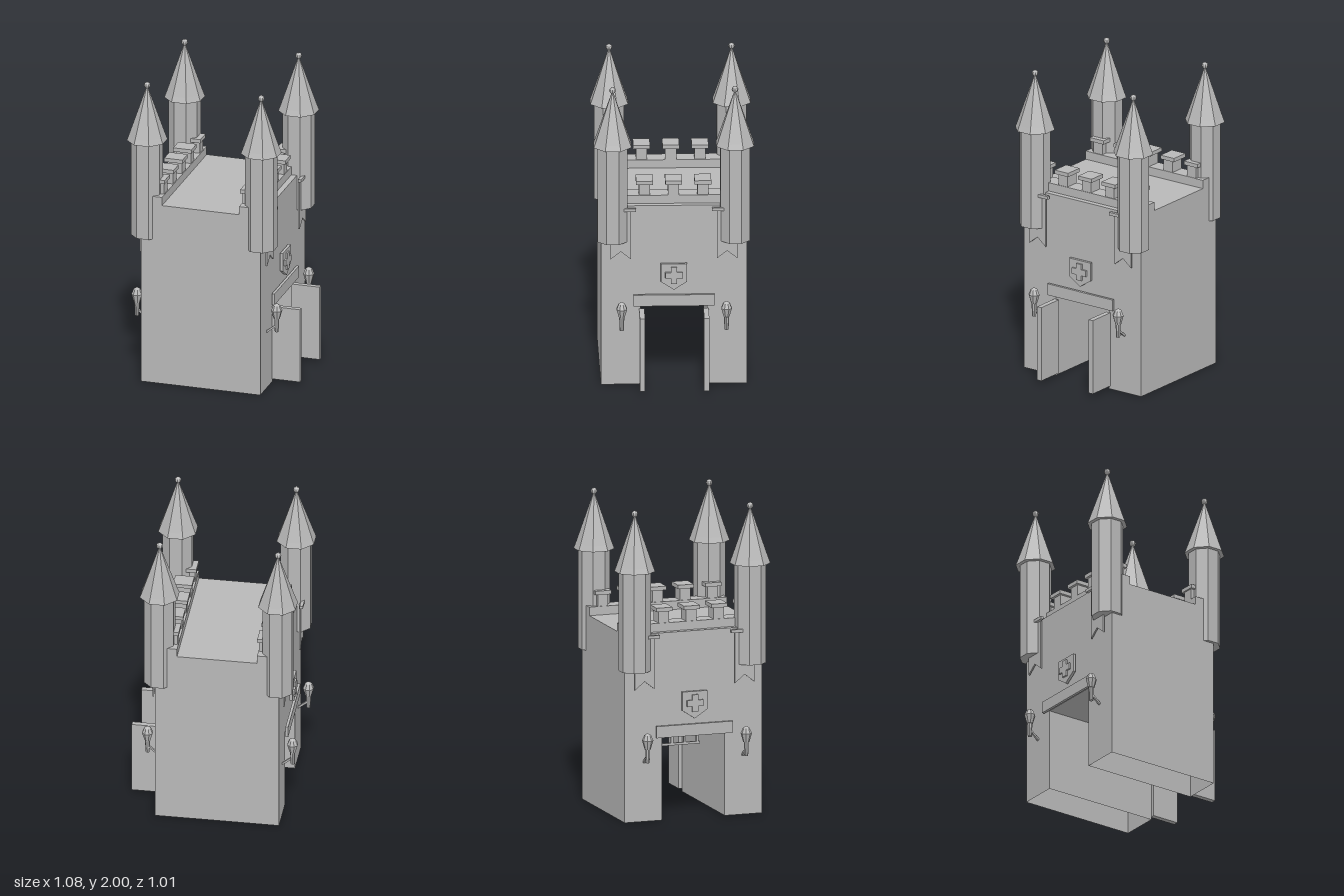
import * as THREE from 'three';

export function createModel() {
  const stone = new THREE.MeshStandardMaterial({ color: 0xb8b8b8, flatShading: true, side: THREE.DoubleSide });
  stone.name = 'stone grey';
  const model = new THREE.Group();
  model.name = 'gatehouse';
  model.position.x = -0.045; // open door leaves shift the walls off centre

  const add = (parent, name, geometry, x = 0, y = 0, z = 0) => {
    const m = new THREE.Mesh(geometry, stone);
    m.name = name;
    m.position.set(x, y, z);
    parent.add(m);
    return m;
  };
  // Box given by its limits on each axis
  const box = (parent, name, x0, x1, y0, y1, z0, z1) =>
    add(parent, name, new THREE.BoxGeometry(x1 - x0, y1 - y0, z1 - z0),
      (x0 + x1) / 2, (y0 + y1) / 2, (z0 + z1) / 2);
  // Outline in (z, y), extruded along x and centred
  const plate = (points, depth) => new THREE.ExtrudeGeometry(
    new THREE.Shape(points.map(p => new THREE.Vector2(...p))), { depth, bevelEnabled: false })
    .translate(0, 0, -depth / 2).rotateY(-Math.PI / 2);
  // Eight-sided turned form, flats facing the axes; radii are to the flats
  const octagon = profile => new THREE.LatheGeometry(
    profile.map(([r, y]) => new THREE.Vector2(r / Math.cos(Math.PI / 8), y)), 8).rotateY(Math.PI / 8);

  // Walls with a passage through, open underneath
  const solid = plate([[-0.46, 0], [-0.21, 0], [-0.21, 0.54], [0.21, 0.54], [0.21, 0],
    [0.46, 0], [0.46, 1.205], [-0.46, 1.205]], 0.79).toNonIndexed?.() ?? null;
  const p = solid.attributes.position, kept = [];
  for (let i = 0; i < p.count; i += 3) {
    if (Math.max(p.getY(i), p.getY(i + 1), p.getY(i + 2)) < 0.001) continue;
    for (let j = i; j < i + 3; j++) kept.push(p.getX(j), p.getY(j), p.getZ(j));
  }
  const shell = new THREE.BufferGeometry();
  shell.setAttribute('position', new THREE.Float32BufferAttribute(kept, 3));
  shell.computeVertexNormals();
  add(model, 'walls', shell);

  // Portcullis inside the passage
  const portcullis = new THREE.Group();
  portcullis.name = 'portcullis';
  model.add(portcullis);
  for (let i = -2; i <= 2; i++)
    box(portcullis, 'portcullisBar', -0.008, 0.008, 0.39, 0.55, i * 0.084 - 0.008, i * 0.084 + 0.008);
  box(portcullis, 'portcullisRail', -0.008, 0.008, 0.39, 0.405, -0.185, 0.185);

  // One gate side, built facing +x; the other is the same turned round
  for (const turn of [0, Math.PI]) {
    const side = new THREE.Group();
    side.name = turn ? 'rightGateSide' : 'leftGateSide';
    side.rotation.y = turn;
    model.add(side);

    // Battlements
    box(side, 'parapet', 0.255, 0.359, 1.2, 1.26, -0.46, 0.46);
    for (let i = -2; i <= 2; i++) {
      const z = i * 0.184;
      box(side, 'merlon', 0.26, 0.355, 1.25, 1.335, z - 0.035, z + 0.035);
      box(side, 'merlonCap', 0.25, 0.371, 1.335, 1.36, z - 0.053, z + 0.053);
    }

    // Lintel and shield with a raised cross
    box(side, 'lintel', 0.405, 0.422, 0.535, 0.61, -0.255, 0.255);
    add(side, 'shield', plate([[-0.083, 0.82], [-0.083, 0.70], [0, 0.645], [0.083, 0.70], [0.083, 0.82]], 0.018), 0.414);
    const a = 0.02, b = 0.055;
    add(side, 'shieldCross', plate([[-a, -b], [a, -b], [a, -a], [b, -a], [b, a], [a, a],
      [a, b], [-a, b], [-a, a], [-b, a], [-b, -a], [-a, -a]], 0.014), 0.428, 0.745);

    for (const s of [-1, 1]) {
      // Corner tower
      const tower = new THREE.Group();
      tower.name = 'tower';
      tower.position.set(0.377, 0, s * 0.386);
      side.add(tower);
      add(tower, 'towerShaft', octagon([[0, 0.97], [0.094, 0.97], [0.094, 1.62]]));
      add(tower, 'towerRoof', octagon([[0, 1.61], [0.119, 1.61], [0.107, 1.645], [0, 1.98]]));
      add(tower, 'finial', new THREE.SphereGeometry(0.021, 8, 6), 0, 1.979, 0);

      // Swallow-tailed banner on a short pole
      add(side, 'banner', plate([[s * 0.27, 1.19], [s * 0.27, 0.853], [s * 0.335, 0.905],
        [s * 0.40, 0.853], [s * 0.40, 1.19]], 0.01), 0.416);
      box(side, 'bannerPole', 0.42, 0.44, 1.18, 1.2, s * 0.335 - 0.095, s * 0.335 + 0.095);

      // Torch on a slanted bracket
      const torch = new THREE.Group();
      torch.name = 'torch';
      torch.position.set(0.462, 0, s * 0.33);
      side.add(torch);
      add(torch, 'torchStem', new THREE.CylinderGeometry(0.017, 0.013, 0.1, 8), 0, 0.44, 0);
      add(torch, 'torchFlame', octagon([[0, 0.47], [0.018, 0.478], [0.033, 0.535], [0.02, 0.568], [0, 0.582]]));
      const arm = add(torch, 'torchBracket', new THREE.BoxGeometry(0.082, 0.012, 0.014), -0.035, 0.408, 0);
      arm.rotation.z = 0.68;
    }
  }

  // Door leaves standing open on one side only
  for (const s of [-1, 1])
    add(model, 'doorLeaf', new THREE.BoxGeometry(0.185, 0.49, 0.033), 0.4875, 0.265, s * 0.2025);

  const root = new THREE.Group();
  root.name = 'castleGate';
  root.add(model);
  return root;
}
